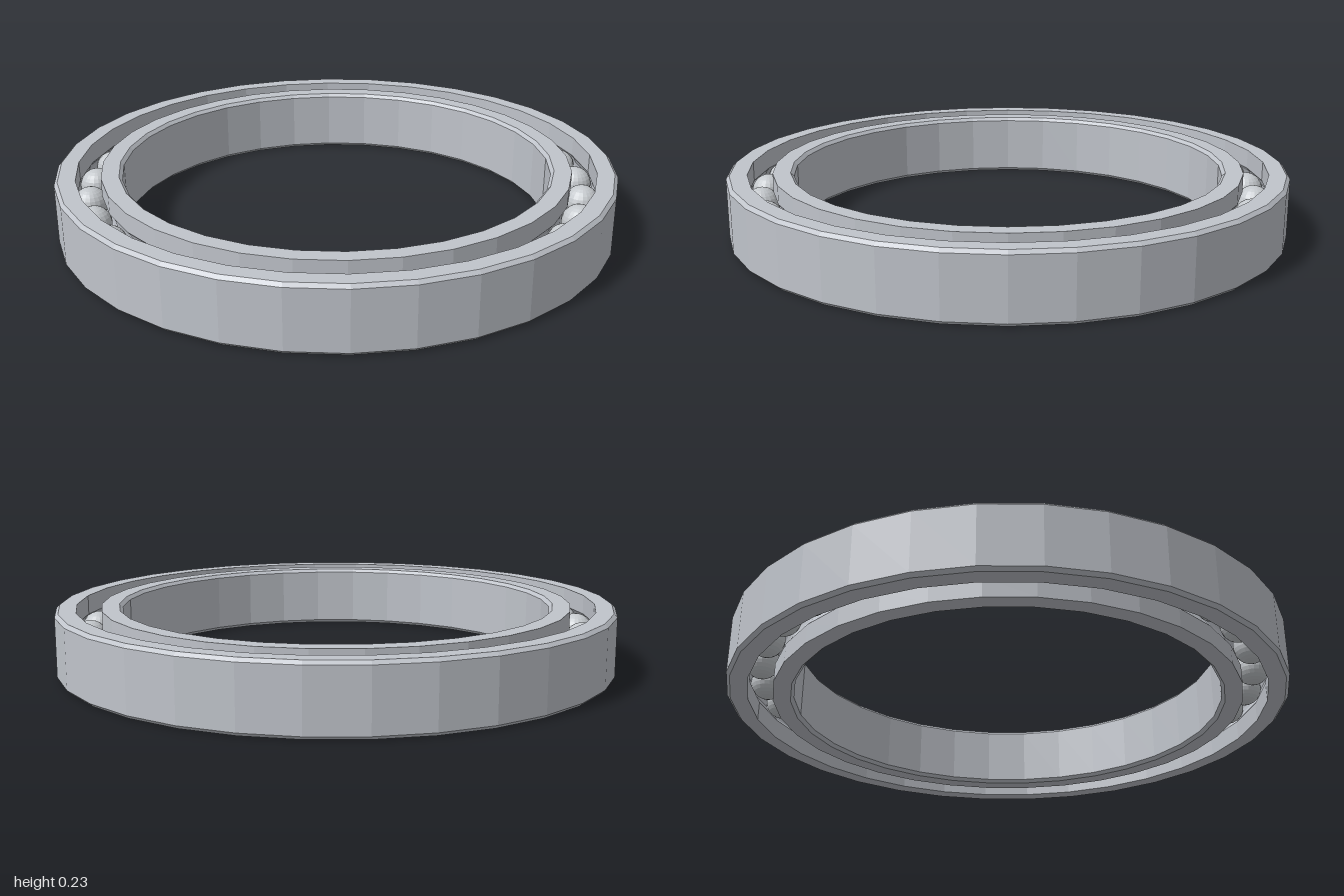
import * as THREE from 'three';

const HEIGHT = 0.232, MID = HEIGHT / 2, CHAMFER = 0.012;
const SEGMENTS = 32, BALLS = 31;
const PITCH = 0.882, BALL_R = 0.061, GROOVE_R = 0.065;

// Faceted look: split the faces and give each its own normal
function faceted(geometry) {
  const g = geometry.toNonIndexed();
  g.computeVertexNormals();
  return g;
}

// Arc of the ball groove cut in a wall of radius r, listed bottom to top
function groove(r) {
  const side = Math.sign(r - PITCH);
  const half = Math.acos(Math.abs(r - PITCH) / GROOVE_R);
  const points = [];
  for (let i = 0; i <= 6; i++) {
    const a = -half + (2 * half * i) / 6;
    points.push([PITCH + side * GROOVE_R * Math.cos(a), MID + GROOVE_R * Math.sin(a)]);
  }
  return points;
}

// Ring turned from a closed profile that runs up its outside and down its inside
function ring(name, profile, material) {
  const points = [...profile, profile[0]].map(([r, y]) => new THREE.Vector2(r, y));
  const mesh = new THREE.Mesh(faceted(new THREE.LatheGeometry(points, SEGMENTS)), material);
  mesh.name = name;
  return mesh;
}

export function createModel() {
  const model = new THREE.Group();
  model.name = 'ballBearing';

  const ringSteel = new THREE.MeshStandardMaterial({ color: 0xc0c4cb });
  ringSteel.name = 'ring steel';
  const ballSteel = new THREE.MeshStandardMaterial({ color: 0xc4c8cc });
  ballSteel.name = 'ball steel';

  // Outer race, chamfered on its outside edges
  const outerWall = 0.927;
  model.add(ring('outerRing', [
    [1 - CHAMFER, 0], [1, CHAMFER], [1, HEIGHT - CHAMFER], [1 - CHAMFER, HEIGHT],
    [outerWall, HEIGHT], ...groove(outerWall).reverse(), [outerWall, 0],
  ], ringSteel));

  // Inner race, chamfered on its bore edges
  const innerWall = 0.84, bore = 0.766;
  model.add(ring('innerRing', [
    [innerWall, 0], ...groove(innerWall), [innerWall, HEIGHT],
    [bore + CHAMFER, HEIGHT], [bore, HEIGHT - CHAMFER], [bore, CHAMFER], [bore + CHAMFER, 0],
  ], ringSteel));

  // Balls evenly spaced between the races
  const balls = new THREE.Group();
  balls.name = 'balls';
  const ballGeometry = faceted(new THREE.SphereGeometry(BALL_R, 20, 14));
  for (let i = 0; i < BALLS; i++) {
    const a = (i / BALLS) * Math.PI * 2;
    const ball = new THREE.Mesh(ballGeometry, ballSteel);
    ball.name = 'ball';
    ball.position.set(PITCH * Math.cos(a), MID, PITCH * Math.sin(a));
    ball.rotation.y = -a;
    balls.add(ball);
  }
  model.add(balls);
  return model;
}
